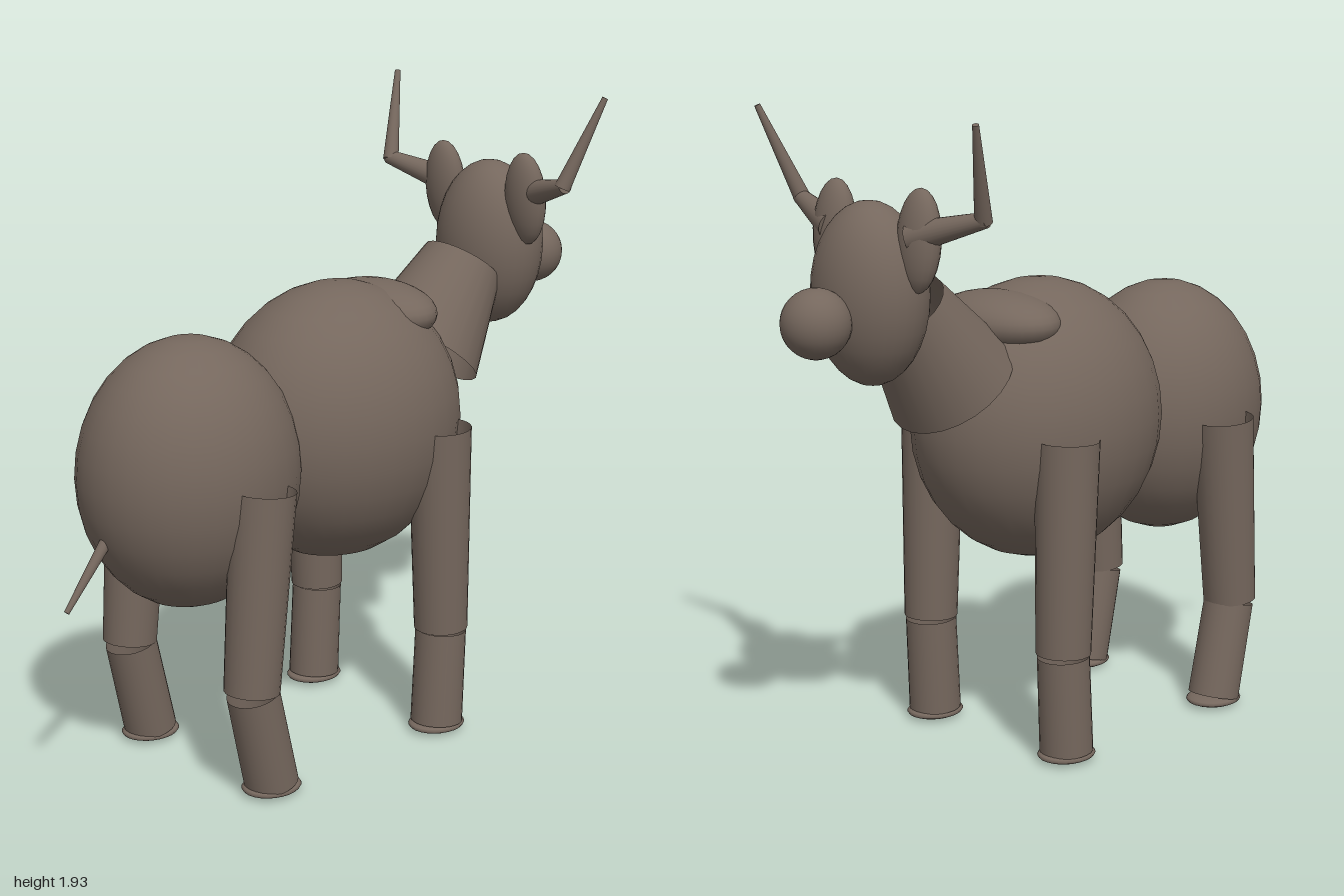
import * as THREE from 'three';

const hide = new THREE.MeshStandardMaterial({ color: 0x75675d });
hide.name = 'brown hide';
const openHide = new THREE.MeshStandardMaterial({ color: 0x75675d, side: THREE.DoubleSide });
openHide.name = 'brown hide';

const UP = new THREE.Vector3(0, 1, 0);

// Ellipsoid with its poles along y
function ellipsoid(name, pos, radii, w = 32, h = 16) {
  const mesh = new THREE.Mesh(new THREE.SphereGeometry(1, w, h), hide);
  mesh.name = name;
  mesh.position.set(...pos);
  mesh.scale.set(...radii);
  return mesh;
}

// Tapered cylinder running from point a (radius ra) to point b (radius rb)
function limb(name, a, b, ra, rb, open = false) {
  const p = new THREE.Vector3(...a);
  const q = new THREE.Vector3(...b);
  const d = q.clone().sub(p);
  const mesh = new THREE.Mesh(
    new THREE.CylinderGeometry(rb, ra, d.length(), 24, 1, open),
    open ? openHide : hide
  );
  mesh.name = name;
  mesh.position.copy(p).add(q).multiplyScalar(0.5);
  mesh.quaternion.setFromUnitVectors(UP, d.normalize());
  return mesh;
}

// Open upper and lower leg tubes with a flat rounded hoof
function leg(name, x, top, knee, shin, foot) {
  const g = new THREE.Group();
  g.name = name;
  g.add(
    limb('upperLeg', [x, 0.333, knee], [x, top[0], top[1]], 0.082, 0.096, true),
    limb('lowerLeg', [x, 0.03, foot], [x, 0.325, shin], 0.08, 0.078, true),
    ellipsoid('hoof', [x, 0.02, foot], [0.081, 0.02, 0.093], 24, 10)
  );
  return g;
}

export function createModel() {
  const model = new THREE.Group();
  model.name = 'ox';

  // Body
  model.add(
    ellipsoid('hindquarters', [0, 0.925, 0.545], [0.303, 0.4, 0.343]),
    ellipsoid('chest', [0, 0.975, -0.032], [0.346, 0.425, 0.415]),
    ellipsoid('shoulderHump', [0, 1.29, -0.2], [0.22, 0.09, 0.15])
  );

  // Neck, head and snout
  model.add(
    limb('neck', [0, 1.13, -0.388], [0, 1.378, -0.58], 0.2, 0.13, true),
    ellipsoid('head', [0, 1.43, -0.7], [0.183, 0.26, 0.153]),
    ellipsoid('snout', [0, 1.37, -0.9], [0.099, 0.099, 0.099])
  );

  // Tail
  model.add(limb('tail', [0, 0.82, 0.82], [0, 0.605, 0.995], 0.02, 0.008));

  // Mirrored ears, horns and legs
  for (const [side, s] of [['left', 1], ['right', -1]]) {
    const ear = ellipsoid(side + 'Ear', [s * 0.172, 1.59, -0.675], [0.074, 0.145, 0.05], 20, 12);
    ear.rotation.x = 0.08;
    const horn = new THREE.Group();
    horn.name = side + 'Horn';
    horn.add(
      limb('hornBase', [s * 0.16, 1.6, -0.69], [s * 0.38, 1.662, -0.622], 0.045, 0.022),
      limb('hornTip', [s * 0.368, 1.655, -0.622], [s * 0.441, 1.925, -0.722], 0.025, 0.009)
    );
    model.add(
      ear,
      horn,
      leg(side + 'FrontLeg', s * 0.281, [0.973, -0.198], -0.214, -0.214, -0.2),
      leg(side + 'RearLeg', s * 0.281, [0.925, 0.508], 0.557, 0.553, 0.485)
    );
  }
  return model;
}
